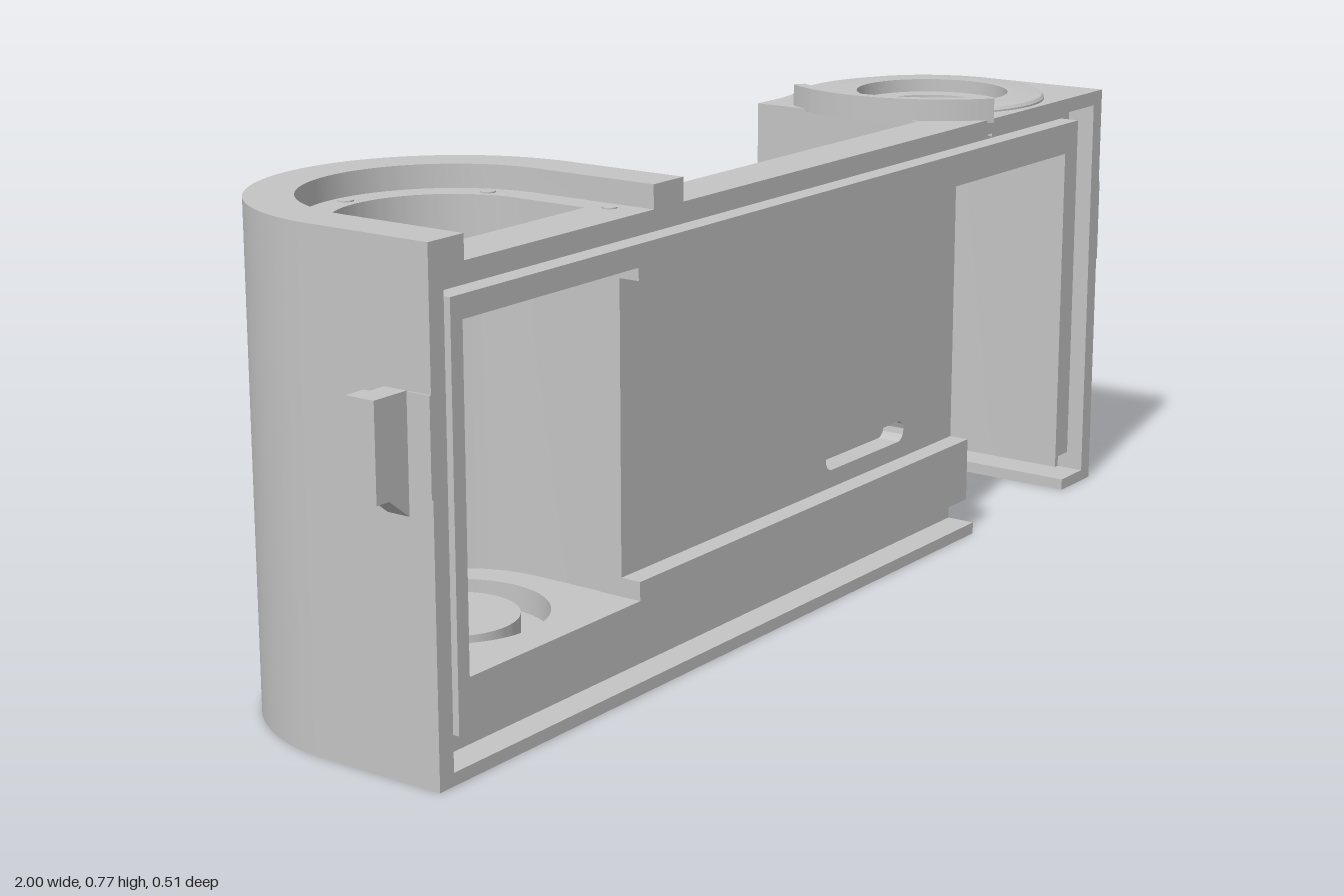
import * as THREE from 'three';
import { toCreasedNormals } from 'three/addons/utils/BufferGeometryUtils.js';

export function createModel() {
  const model = new THREE.Group();
  model.name = 'cameraBody';
  const grey = new THREE.MeshStandardMaterial({ color: 0xc4c4c4 });
  grey.name = 'satin grey';

  const add = (name, geo, smooth = true) => {
    const mesh = new THREE.Mesh(smooth ? toCreasedNormals(geo, 0.5) : geo, grey);
    mesh.name = name;
    model.add(mesh);
  };
  const extrude = (shape, depth) =>
    new THREE.ExtrudeGeometry(shape, { depth, bevelEnabled: false, curveSegments: 32 });
  // Plan outline (x, z) raised from y0 to y1
  const slab = (name, shape, y0, y1) =>
    add(name, extrude(shape, y1 - y0).rotateX(Math.PI / 2).translate(0, y1, 0));
  // Elevation outline (x, y) from z0 to z1
  const face = (name, shape, z0, z1) => add(name, extrude(shape, z1 - z0).translate(0, 0, z0));
  const box = (name, x0, x1, y0, y1, z0, z1) =>
    add(name, new THREE.BoxGeometry(x1 - x0, y1 - y0, z1 - z0)
      .translate((x0 + x1) / 2, (y0 + y1) / 2, (z0 + z1) / 2), false);
  const poly = (pts) => new THREE.Shape(pts.map(([x, y]) => new THREE.Vector2(x, y)));
  const circle = (x, z, r) => new THREE.Path().absarc(x, z, r, 0, Math.PI * 2, false);

  // Plan outline rounded at the back, straight to the front
  const drawU = (p, x, z, r, front) => {
    p.moveTo(x - r, front);
    p.lineTo(x - r, z);
    p.absarc(x, z, r, Math.PI, Math.PI * 2, false);
    p.lineTo(x + r, front);
    return p;
  };
  // Cut a rounded channel that is open at the front
  const cutU = (p, x, z, r, front) => {
    p.lineTo(x + r, front);
    p.lineTo(x + r, z);
    p.absarc(x, z, r, Math.PI * 2, Math.PI, true);
    p.lineTo(x - r, front);
    return p;
  };

  const F = 0.2, FRONT = 0.25;

  // Tall film chamber
  const LX = -0.65, LZ = 0.035, LR = 0.285;
  const tall = (front = F) => drawU(new THREE.Shape(), LX, LZ, LR, front);
  slab('tallDrumBase', tall(), 0, 0.1);
  const floor = tall();
  floor.holes.push(circle(LX, LZ, 0.145));
  slab('tallDrumFloor', floor, 0.1, 0.14);
  slab('floorBoss', new THREE.Shape().absarc(LX, LZ, 0.1, 0, Math.PI * 2, false), 0.1, 0.135);
  slab('tallDrumWall', cutU(tall(), LX, LZ, 0.197, F), 0.14, 0.65);
  const shelf = tall();
  shelf.holes.push(drawU(new THREE.Path(), LX, LZ, 0.165, 0.16));
  slab('tallDrumShelf', shelf, 0.65, 0.735);
  slab('tallDrumRim', cutU(tall(FRONT), LX, LZ, 0.212, FRONT), 0.735, 0.772);

  // Short drum, blended into the housing, with a chamber open below and in front
  const RX = 0.69, RZ = 0.037, RR = 0.245;
  const short = () => {
    const s = new THREE.Shape();
    s.moveTo(0.44, F);
    s.lineTo(0.44, -0.17);
    s.lineTo(0.5, -0.17);
    s.quadraticCurveTo(0.547, -0.17, 0.6, -0.191);
    s.absarc(RX, RZ, RR, 4.336, Math.PI * 2, false);
    s.lineTo(0.935, F);
    return s;
  };
  for (const [y0, y1, x, r] of [
    [0, 0.02, 0.667, 0.163], [0.02, 0.06, RX, 0.205], [0.06, 0.67, 0.667, 0.163],
  ]) slab('shortDrumWall', cutU(short(), x, RZ, r, F), y0, y1);
  for (const [y0, y1, r] of [[0.67, 0.722, 0.095], [0.722, 0.735, 0.135]]) {
    const s = short();
    s.holes.push(circle(RX, RZ, r));
    slab('shortDrumCover', s, y0, y1);
  }
  // Raised dial seat with a rounded edge
  const seat = [[0.135, 0.73], [0.2, 0.73], [0.2, 0.738], [0.196, 0.743], [0.188, 0.745],
    [0.135, 0.745], [0.135, 0.73]];
  add('dialSeat', new THREE.LatheGeometry(seat.map(([x, y]) => new THREE.Vector2(x, y)), 64)
    .translate(RX, 0, RZ));
  // Curved guard beside the dial
  const arc = (r0, r1, a0, a1) => {
    const s = new THREE.Shape();
    s.absarc(RX, RZ, r1, a0, a1, false);
    s.absarc(RX, RZ, r0, a1, a0, true);
    return s;
  };
  slab('dialGuard', arc(0.238, 0.272, 2.2, 3.7), 0.73, 0.76);
  slab('dialGuardLip', arc(0.25, 0.272, 2.2, 3.7), 0.76, 0.772);

  // Mechanism housing between the drums
  const housing = () => {
    const s = new THREE.Shape();
    s.moveTo(-0.11, 0.16);
    s.lineTo(-0.11, -0.07);
    s.absarc(-0.01, -0.07, 0.1, Math.PI, Math.PI * 1.5, false);
    s.lineTo(0.44, -0.17);
    s.lineTo(0.44, 0.16);
    return s;
  };
  slab('housingBase', housing(), 0, 0.15);
  const wall = housing();
  const well = new THREE.Path();
  well.moveTo(-0.06, 0.155);
  well.lineTo(-0.06, 0.12);
  well.lineTo(-0.097, 0.1);
  well.lineTo(-0.1, 0.06);
  well.absarc(0.05, 0.06, 0.15, Math.PI, Math.PI + 1.16, false);
  well.absarc(0.03, -0.08, 0.04, Math.PI, Math.PI * 1.5, false);
  well.lineTo(0.435, -0.12);
  well.lineTo(0.435, 0.155);
  wall.holes.push(well);
  slab('housingWall', wall, 0.15, 0.41);
  slab('housingDisc', drawU(new THREE.Shape(), 0.23, 0.09, 0.17, 0.155), 0.15, 0.165);

  // Film plate with a rounded slot
  const plate = poly([[-0.455, 0], [0.505, 0], [0.505, 0.735], [-0.455, 0.735]]);
  const slot = new THREE.Path();
  slot.absarc(0.122, 0.218, 0.018, Math.PI / 2, Math.PI * 1.5, false);
  slot.absarc(0.328, 0.218, 0.018, -Math.PI / 2, Math.PI / 2, false);
  plate.holes.push(slot);
  face('filmPlate', plate, 0.16, F);
  box('lowerBackBar', -0.37, -0.1, 0, 0.1, 0.145, 0.17);

  // Front frame, interrupted below the short drum
  face('outerFrame', poly([
    [0.505, 0], [-0.935, 0], [-0.935, 0.735], [0.935, 0.735], [0.935, 0], [0.83, 0],
    [0.83, 0.02], [0.905, 0.02], [0.905, 0.71], [-0.905, 0.71], [-0.905, 0.02], [0.505, 0.02],
  ]), F, FRONT);
  face('innerFrame', poly([
    [0.505, 0.06], [-0.875, 0.06], [-0.875, 0.685], [0.875, 0.685], [0.875, 0.06], [0.83, 0.06],
    [0.83, 0.63], [-0.455, 0.63], [-0.455, 0.65], [-0.85, 0.65], [-0.85, 0.14], [-0.455, 0.14],
    [-0.455, 0.17], [0.505, 0.17],
  ]), F, 0.235);
  box('latchSlotPlate', 0.61, 0.75, 0.69, 0.708, F, 0.208);

  // Strap lugs
  for (const s of [-1, 1]) {
    const name = s > 0 ? 'leftLug' : 'rightLug';
    const span = (p, q) => [p * s, q * s].sort((m, n) => m - n);
    face(name + 'Base', poly([[0.93, 0.385], [0.975, 0.42], [0.975, 0.565], [0.93, 0.565]]
      .map(([x, y]) => [x * s, y])), 0.168, 0.207);
    box(name + 'End', ...span(0.965, 1), 0.42, 0.565, 0.157, 0.207);
    box(name + 'Plate', ...span(0.93, 0.938), 0.42, 0.565, 0.212, FRONT);
  }

  // Screw seats: x, z, height of the surface
  const screws = [
    [-0.65, -0.155, 0.735], [-0.825, -0.03, 0.735], [-0.475, -0.03, 0.735],
    [-0.835, 0.19, 0.735], [-0.465, 0.19, 0.735],
    [-0.04, -0.11, 0.41], [0.155, -0.145, 0.41], [0.375, -0.145, 0.41], [-0.085, 0.145, 0.41],
    [0.07, -0.07, 0.15], [0.36, -0.07, 0.15], [0.23, 0.09, 0.165],
  ];
  for (const [x, z, y] of screws) {
    add('screwSeat', new THREE.CylinderGeometry(0.012, 0.012, 0.004, 16).translate(x, y, z));
  }
  return model;
}
